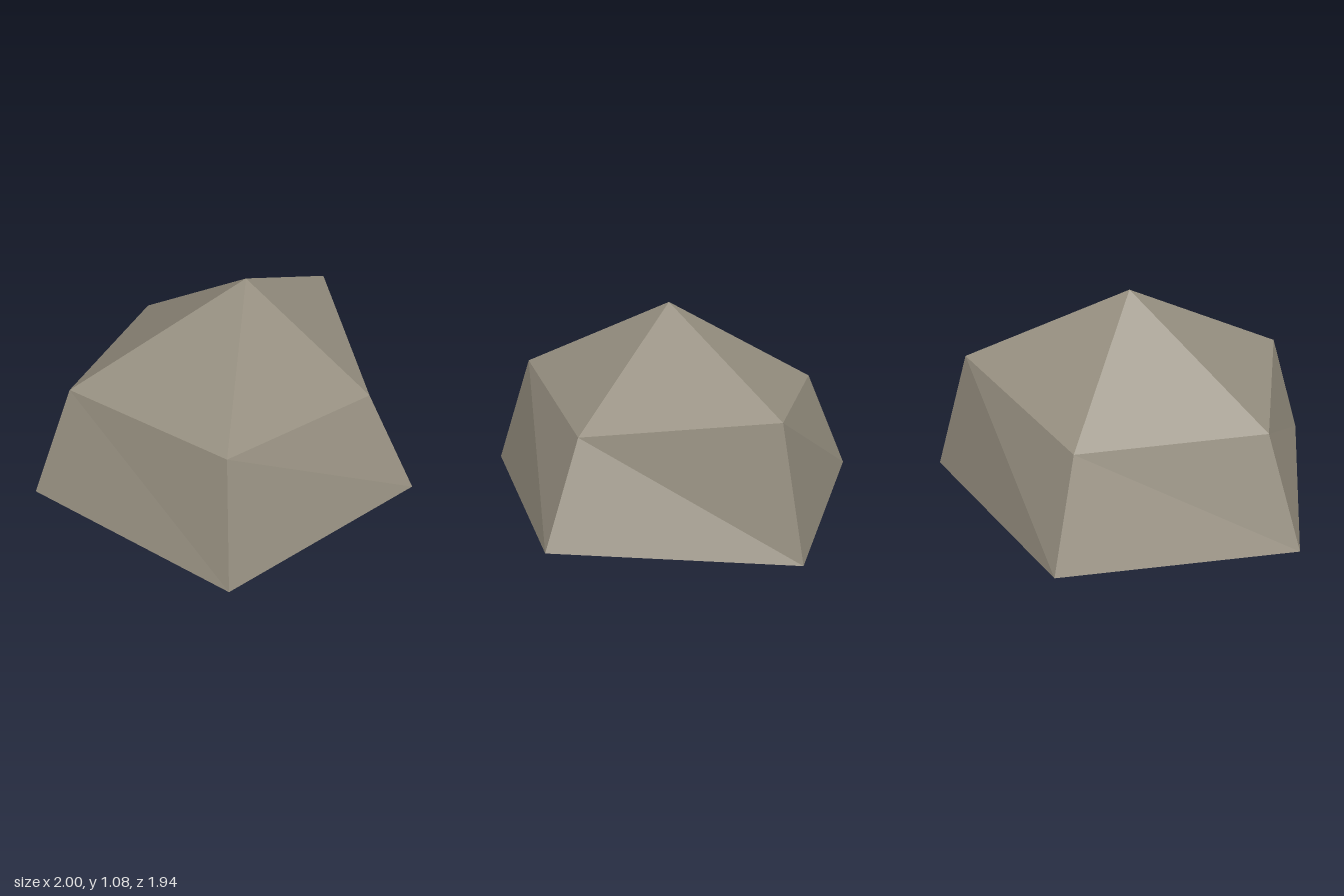
import * as THREE from 'three';

// Five corners, running from +x towards +z
const BASE = [[1, 0, 0], [0.19, 0, 0.97], [-1, 0, 0.64], [-0.99, 0, -0.62], [0.19, 0, -0.97]];
const SHOULDER = [[0.81, 0.68, 0], [0.11, 0.53, 0.72], [-0.83, 0.62, 0.51], [-0.8, 0.59, -0.49], [0.12, 0.56, -0.74]];
const APEX = [-0.06, 1.075, 0.07];

function facetMesh(name, triangles, material) {
  const geometry = new THREE.BufferGeometry();
  geometry.setAttribute('position', new THREE.Float32BufferAttribute(triangles.flat(), 3));
  geometry.computeVertexNormals();
  const mesh = new THREE.Mesh(geometry, material);
  mesh.name = name;
  return mesh;
}

export function createModel() {
  const stone = new THREE.MeshStandardMaterial({ color: 0x968f80, flatShading: true });
  stone.name = 'stone';

  const sides = [], cap = [], underside = [];
  BASE.forEach((b, i) => {
    const j = (i + 1) % BASE.length;
    // Sloping wall between two corners
    sides.push(b, SHOULDER[i], SHOULDER[j], b, SHOULDER[j], BASE[j]);
    // Roof facet rising to the peak
    cap.push(SHOULDER[i], APEX, SHOULDER[j]);
    // Flat bottom fan
    if (i > 0 && j > 0) underside.push(BASE[0], b, BASE[j]);
  });

  const rock = new THREE.Group();
  rock.name = 'rock';
  rock.add(
    facetMesh('rockSides', sides, stone),
    facetMesh('rockCap', cap, stone),
    facetMesh('rockUnderside', underside, stone),
  );
  return rock;
}
